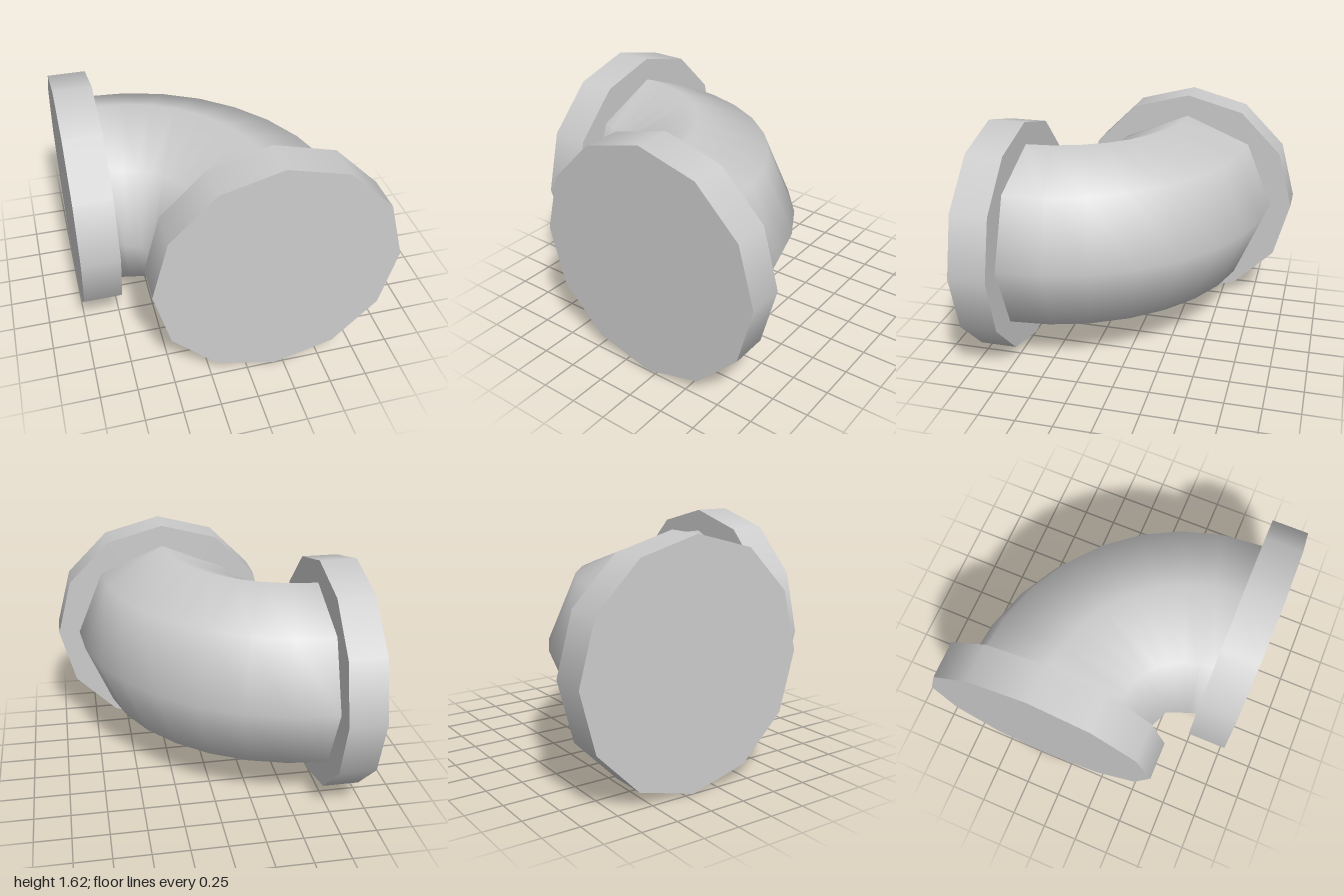
import * as THREE from 'three';

const MID = 0.81;      // height of the pipe axis
const PIVOT = 0.745;   // bend centre is at x = -PIVOT, z = PIVOT
const BEND = 0.935;    // radius of the bend's centre line
const PIPE = 0.655;    // pipe radius

// Quarter bend with eight sides; the tight inner edges turn in fewer, longer steps
function bendGeometry() {
  const sides = 8, rings = 8;
  const steps = [8, 8, 8, 4, 2, 4, 8, 8];
  const pos = [], index = [];
  for (let i = 0; i <= rings; i++) {
    for (let j = 0; j < sides; j++) {
      const t = j / sides * Math.PI * 2;
      const rho = BEND + PIPE * Math.cos(t);
      const s = i / rings * steps[j];
      const k = Math.min(Math.floor(s), steps[j] - 1), f = s - k;
      const a = k / steps[j] * Math.PI / 2, b = (k + 1) / steps[j] * Math.PI / 2;
      pos.push(
        -PIVOT + rho * THREE.MathUtils.lerp(Math.cos(a), Math.cos(b), f),
        MID + PIPE * Math.sin(t),
        PIVOT - rho * THREE.MathUtils.lerp(Math.sin(a), Math.sin(b), f));
    }
  }
  for (let i = 0; i < rings; i++) {
    for (let j = 0; j < sides; j++) {
      const n = (j + 1) % sides;
      const a = i * sides + j, b = a + sides, c = i * sides + n, d = c + sides;
      index.push(a, b, c, b, d, c);
    }
  }
  const geo = new THREE.BufferGeometry();
  geo.setAttribute('position', new THREE.Float32BufferAttribute(pos, 3));
  geo.setIndex(index);
  geo.computeVertexNormals();
  return geo;
}

export function createModel() {
  const group = new THREE.Group();
  group.name = 'pipeElbow';
  const material = new THREE.MeshStandardMaterial({ color: 0xcccccc });

  const bend = new THREE.Mesh(bendGeometry(), material);
  bend.name = 'bend';
  group.add(bend);

  // Twelve-sided closed collars at both ends
  const collar = new THREE.CylinderGeometry(0.81, 0.81, 0.255, 12);
  const front = new THREE.Mesh(collar, material);
  front.name = 'frontCollar';
  front.rotation.x = Math.PI / 2;
  front.position.set(0.19, MID, 0.8725);
  const side = new THREE.Mesh(collar, material);
  side.name = 'sideCollar';
  side.rotation.z = Math.PI / 2;
  side.position.set(-0.8725, MID, -0.19);
  group.add(front, side);

  return group;
}
